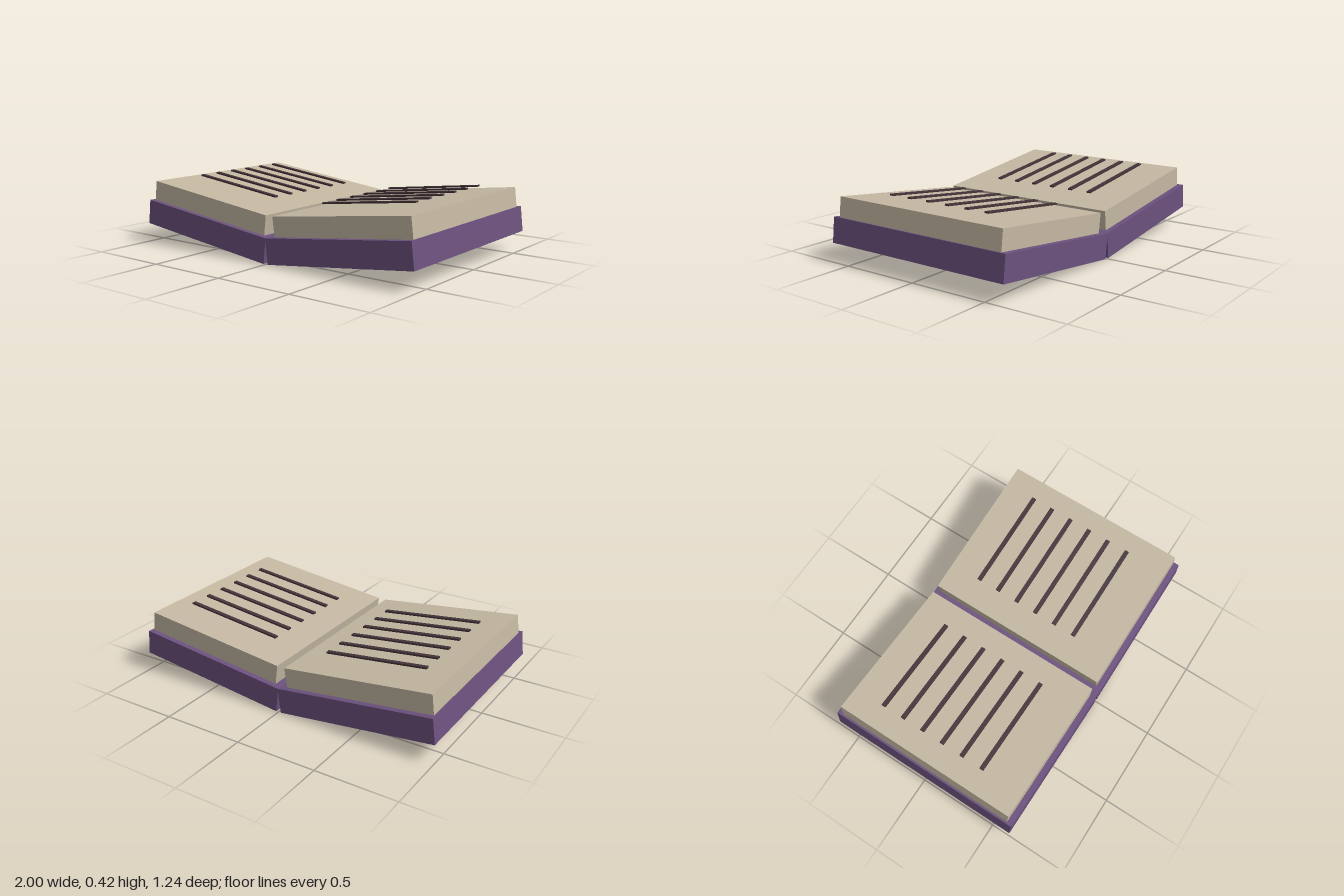
import * as THREE from 'three';

export function createModel() {
  const coverMaterial = new THREE.MeshStandardMaterial({ name: 'purple cover', color: 0x6c517e });
  const paperMaterial = new THREE.MeshStandardMaterial({ name: 'aged paper', color: 0xc4b8a2 });
  const inkMaterial = new THREE.MeshStandardMaterial({ name: 'dark ink', color: 0x45343a });
  const tilt = 0.12;

  function block(name, material, [w, h, d], [x, y, z]) {
    const mesh = new THREE.Mesh(new THREE.BoxGeometry(w, h, d), material);
    mesh.name = name;
    mesh.position.set(x, y, z);
    return mesh;
  }

  // One half of the open book, tilted up towards its outer edge
  function bookHalf(name, side) {
    const half = new THREE.Group();
    half.name = name;
    half.position.set(side * 0.4985, 0.1375, 0);
    half.rotation.z = side * tilt;

    half.add(block('cover', coverMaterial, [0.99, 0.154, 1.24], [0, 0, 0]));
    half.add(block('pages', paperMaterial, [0.936, 0.13, 1.17], [side * 0.015, 0.133, 0]));

    // Lines of writing hovering just above the page
    for (let i = 0; i < 6; i++) {
      half.add(block('textLine' + (i + 1), inkMaterial, [0.64, 0.01, 0.027],
        [side * 0.029, 0.235, -0.372 + i * 0.137]));
    }
    return half;
  }

  const book = new THREE.Group();
  book.name = 'openBook';
  book.add(bookHalf('leftHalf', 1), bookHalf('rightHalf', -1));
  return book;
}
